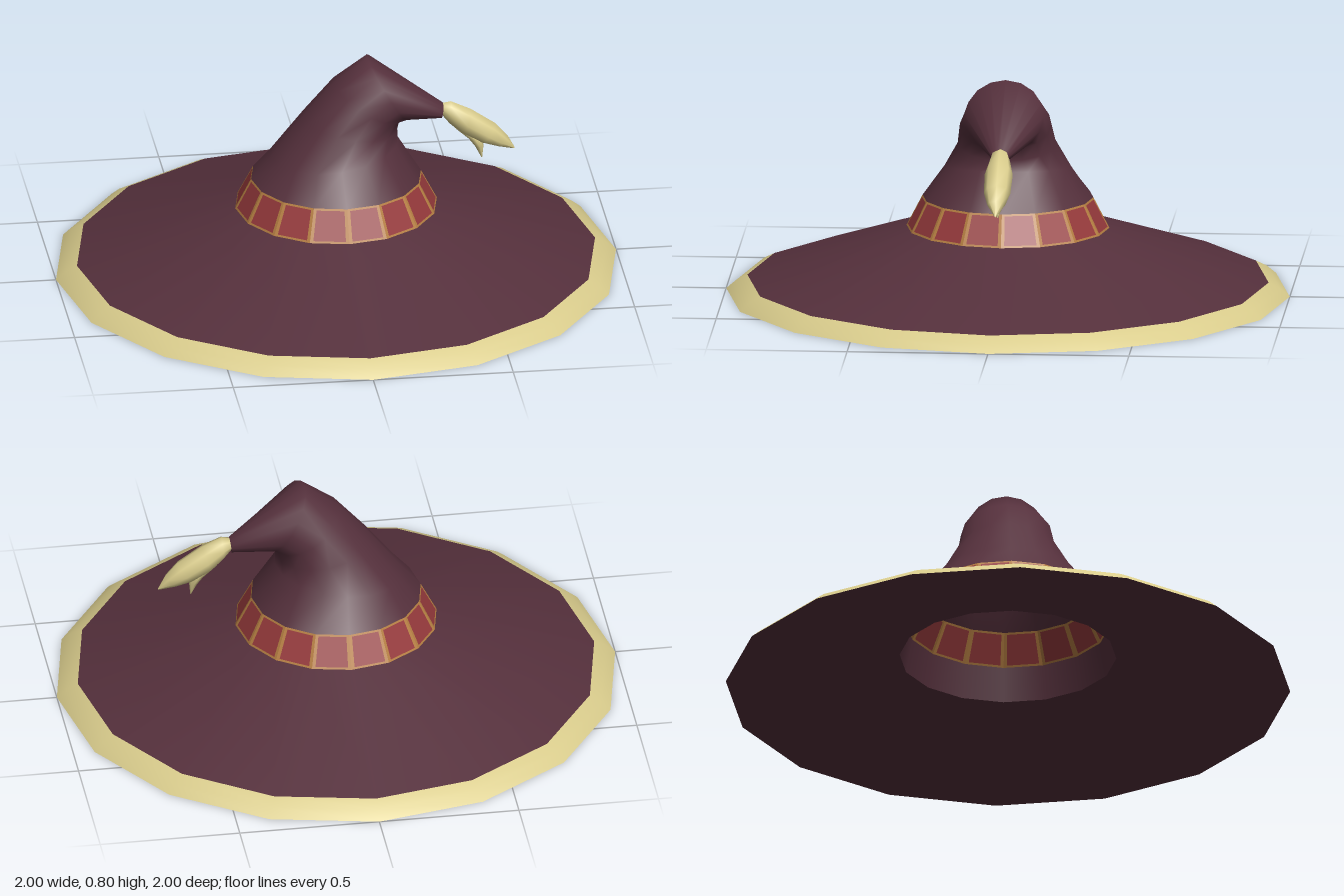
import * as THREE from 'three';

const SIDES = 16;
const mat = (color) => new THREE.MeshStandardMaterial({ color, side: THREE.DoubleSide });
const cloth = mat(0x55303c), gold = mat(0xd9cc8c), red = mat(0x963a3c), bronze = mat(0xb57e42);

function part(name, geometry, material) {
  const mesh = new THREE.Mesh(geometry, material);
  mesh.name = name;
  return mesh;
}

function meshGeometry(positions, index) {
  const g = new THREE.BufferGeometry();
  g.setAttribute('position', new THREE.Float32BufferAttribute(positions, 3));
  if (index) g.setIndex(index);
  g.computeVertexNormals();
  return g;
}

function lathe(profile) {
  return new THREE.LatheGeometry(profile.map(([r, y]) => new THREE.Vector2(r, y)), SIDES);
}

// Skin over elliptical rings, each [x1, y1, x2, y2, halfWidthZ]:
// two opposite points in the z = 0 plane and a half width across it.
function loft(rings, sides) {
  const positions = [], index = [];
  rings.forEach(([x1, y1, x2, y2, w], i) => {
    for (let j = 0; j < sides; j++) {
      const a = (j / sides) * Math.PI * 2, c = Math.cos(a) / 2;
      positions.push((x1 + x2) / 2 + (x2 - x1) * c, (y1 + y2) / 2 + (y2 - y1) * c, w * Math.sin(a));
      if (i === rings.length - 1) continue;
      const p = i * sides + j, q = i * sides + ((j + 1) % sides);
      index.push(p, p + sides, q, q, p + sides, q + sides);
    }
  });
  return meshGeometry(positions, index);
}

// Band of framed panels: each side is a 3 x 3 grid whose middle cell is the panel
function buildBand() {
  const bottom = [0.36, 0.24], top = [0.303, 0.35];
  const across = [0, 0.085, 0.915, 1], up = [0, 0.06, 0.94, 1];
  const panels = [], frame = [];
  const corner = (k, t) => {
    const a = (k / SIDES) * Math.PI * 2;
    const r = THREE.MathUtils.lerp(bottom[0], top[0], t);
    return new THREE.Vector3(r * Math.cos(a), THREE.MathUtils.lerp(bottom[1], top[1], t), r * Math.sin(a));
  };
  for (let k = 0; k < SIDES; k++) {
    const at = (s, t) => corner(k, t).lerp(corner(k + 1, t), s).toArray();
    for (let i = 0; i < 3; i++) {
      for (let j = 0; j < 3; j++) {
        const a = at(across[i], up[j]), b = at(across[i], up[j + 1]);
        const c = at(across[i + 1], up[j]), d = at(across[i + 1], up[j + 1]);
        (i === 1 && j === 1 ? panels : frame).push(...a, ...b, ...c, ...c, ...b, ...d);
      }
    }
  }
  const band = new THREE.Group();
  band.name = 'band';
  band.add(part('bandPanels', meshGeometry(panels), red), part('bandFrame', meshGeometry(frame), bronze));
  return band;
}

export function createModel() {
  const hat = new THREE.Group();
  hat.name = 'pointedHat';

  // Brim: sloping top, rounded edge trim, underside and inner wall
  hat.add(part('brimTop', lathe([[0.925, 0.05], [0.36, 0.24]]), cloth));
  hat.add(part('brimTrim', lathe([[1, 0], [0.966, 0.029], [0.925, 0.05]]), gold));
  hat.add(part('brimUnderside', lathe([[0.384, 0.117], [1, 0]]), cloth));
  hat.add(part('innerWall', lathe([[0.384, 0.117], [0.36, 0.24]]), cloth));

  hat.add(buildBand());

  // Crown: leans, then folds over sideways to a narrow tip
  hat.add(part('crown', loft([
    [-0.303, 0.35, 0.303, 0.35, 0.303],
    [-0.235, 0.43, 0.22, 0.485, 0.225],
    [-0.12, 0.58, 0.218, 0.525, 0.175],
    [-0.01, 0.705, 0.225, 0.563, 0.163],
    [0.112, 0.795, 0.25, 0.562, 0.14],
    [0.382, 0.605, 0.375, 0.55, 0.03],
    [0.379, 0.578, 0.379, 0.578, 0],
  ], SIDES), cloth));

  // Tuft: a large hanging lock and a small one beneath it
  const tuft = new THREE.Group();
  tuft.name = 'tuft';
  tuft.add(part('mainLock', loft([
    [0.37, 0.58, 0.37, 0.58, 0],
    [0.372, 0.603, 0.378, 0.56, 0.022],
    [0.41, 0.61, 0.405, 0.525, 0.036],
    [0.48, 0.577, 0.45, 0.483, 0.05],
    [0.57, 0.515, 0.515, 0.446, 0.047],
    [0.612, 0.467, 0.57, 0.43, 0.032],
    [0.638, 0.418, 0.635, 0.414, 0.003],
  ], 8), gold));
  tuft.add(part('smallLock', loft([
    [0.46, 0.525, 0.425, 0.505, 0.03],
    [0.515, 0.47, 0.475, 0.46, 0.028],
    [0.527, 0.435, 0.497, 0.43, 0.02],
    [0.522, 0.386, 0.519, 0.387, 0.002],
  ], 8), gold));
  hat.add(tuft);

  return hat;
}
